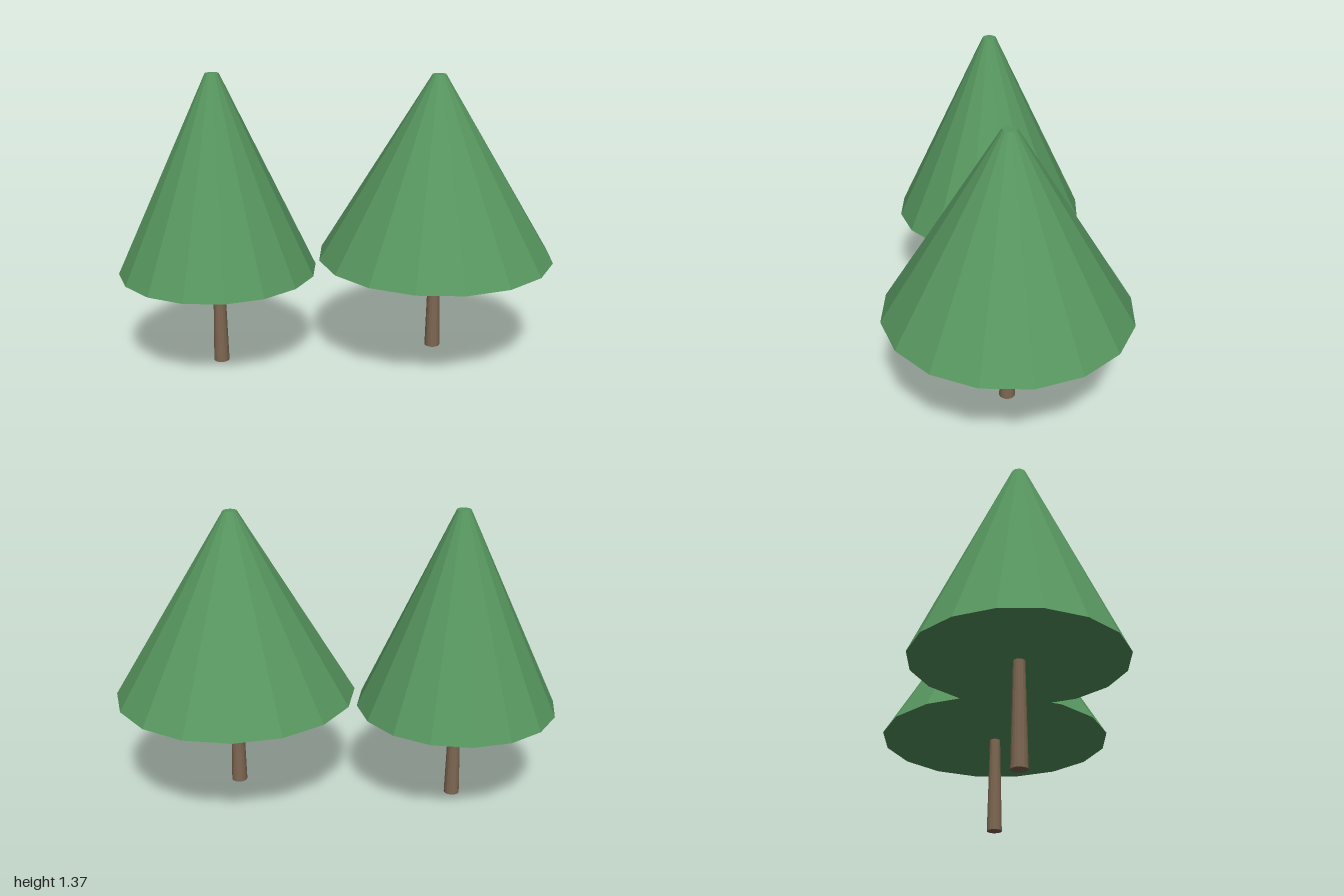
import * as THREE from 'three';

const SIDES = 16;

export function createModel() {
  const model = new THREE.Group();
  model.name = 'twoTrees';

  const foliage = new THREE.MeshStandardMaterial({ color: 0x57965f });
  foliage.name = 'foliage green';
  foliage.flatShading = true;
  const bark = new THREE.MeshStandardMaterial({ color: 0x7d6651 });
  bark.name = 'bark brown';
  bark.flatShading = true;

  // A tapered, closed, faceted column standing between two heights
  function taper(name, material, topRadius, baseRadius, y0, y1) {
    const geometry = new THREE.CylinderGeometry(topRadius, baseRadius, y1 - y0, SIDES);
    geometry.translate(0, (y0 + y1) / 2, 0);
    const mesh = new THREE.Mesh(geometry, material);
    mesh.name = name;
    return mesh;
  }

  // One tree: slim trunk under a cut-off cone of foliage
  function addTree(name, x, z, ground, crownBase, crownTop, crownRadius) {
    const tree = new THREE.Group();
    tree.name = name;
    tree.position.set(x, 0, z);
    tree.add(
      taper('trunk', bark, 0.025, 0.036, ground, crownBase + 0.01),
      taper('crown', foliage, 0.031, crownRadius, crownBase, crownTop)
    );
    model.add(tree);
  }

  addTree('rightTree', -0.547, -0.092, 0, 0.457, 1.365, 0.453);
  addTree('leftTree', 0.455, 0, 0.048, 0.503, 1.35, 0.545);

  return model;
}
